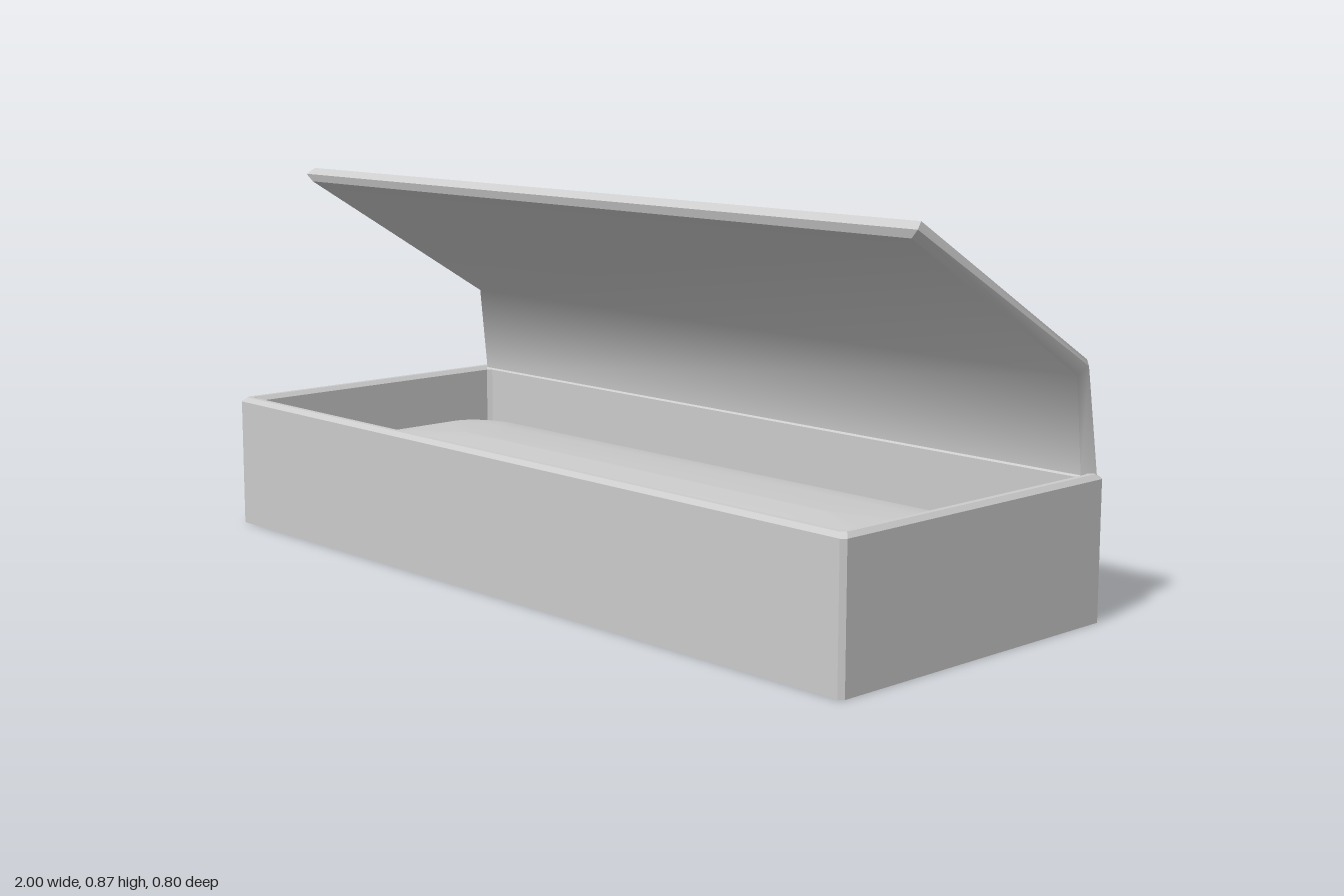
import * as THREE from 'three';
import { mergeGeometries } from 'three/addons/utils/BufferGeometryUtils.js';

// Skin through rows of points; each row runs left to right, rows run upward
function loft(rows, closed) {
  const n = rows[0].length, index = [];
  for (let r = 0; r < rows.length - 1; r++) {
    for (let c = 0; c < (closed ? n : n - 1); c++) {
      const a = r * n + c, b = r * n + (c + 1) % n;
      index.push(a, b, b + n, a, b + n, a + n);
    }
  }
  const geo = new THREE.BufferGeometry();
  geo.setAttribute('position', new THREE.Float32BufferAttribute(rows.flat(2), 3));
  geo.setIndex(index);
  geo.computeVertexNormals();
  return geo;
}

// Rectangle with rounded corners (steps = 1 gives a chamfer), seen from above
function outline(hx, hz, rx, rz, steps, y) {
  const pts = [];
  rx = Math.min(rx, hx);
  rz = Math.min(rz, hz);
  [[1, 1], [-1, 1], [-1, -1], [1, -1]].forEach(([sx, sz], q) => {
    for (let i = 0; i <= steps; i++) {
      const t = (q + i / steps) * Math.PI / 2;
      pts.push([sx * (hx - rx) + rx * Math.cos(t), y, -sz * (hz - rz) - rz * Math.sin(t)]);
    }
  });
  return pts;
}

function part(name, geometry, flatShading) {
  const material = new THREE.MeshStandardMaterial({ color: 0xcccccc, flatShading, side: THREE.DoubleSide });
  const mesh = new THREE.Mesh(geometry, material);
  mesh.name = name;
  return mesh;
}

export function createModel() {
  const group = new THREE.Group();
  group.name = 'openCase';

  // Walls: outer skin, chamfered rim, inner skin down to a ledge; open below
  const wall = [[0, 0], [0, 0.305], [0.01, 0.315], [0.022, 0.315], [0.032, 0.305], [0.032, 0.11], [0, 0.11]];
  group.add(part('caseWalls', loft(wall.map(([d, y]) => outline(1 - d, 0.4 - d, 0.01, 0.01, 1, y)), true), true));

  // Cushion: [inset, height] from the flat underside over the edge to the crown
  const pillow = [[0.36, 0.1], [0.05, 0.1], [0.015, 0.108], [0, 0.13], [0.008, 0.15], [0.03, 0.172],
    [0.07, 0.192], [0.13, 0.21], [0.22, 0.224], [0.36, 0.23]];
  group.add(part('cushion', loft(pillow.map(([d, y]) =>
    outline(0.965 - d, 0.36 - d, 0.13, 0.09, 8, y)), true), false));

  // Lid: bent panel, with [z, y] paths for its outer face, edge ridge and inner face
  const outer = [[-0.4, 0.305], [-0.355, 0.555], [0.175, 0.87]];
  const ridge = [[-0.39, 0.31], [-0.35, 0.543], [0.195, 0.856]];
  const inner = [[-0.36, 0.312], [-0.338, 0.522], [0.19, 0.838]];
  const line = (path, x) => path.map(([z, y]) => [x, y, z]);
  const around = [
    line(outer, 0.978), line(outer, -0.978), line(ridge, -0.987),
    line(inner, -0.968), line(inner, 0.968), line(ridge, 0.987),
  ];
  // Each face is its own strip, smooth along the bend and sharp at the edges
  const strips = around.map((a, i) => {
    const b = around[(i + 1) % 6];
    return loft(a.map((p, k) => [p, b[k]]));
  });
  // Front lip of the lid
  const lip = [[3, 4], [2, 5], [1, 0]].map(pair => pair.map(i => around[i][2]));
  strips.push(loft([lip[0], lip[1]]), loft([lip[1], lip[2]]));
  group.add(part('lid', mergeGeometries(strips), false));

  return group;
}
